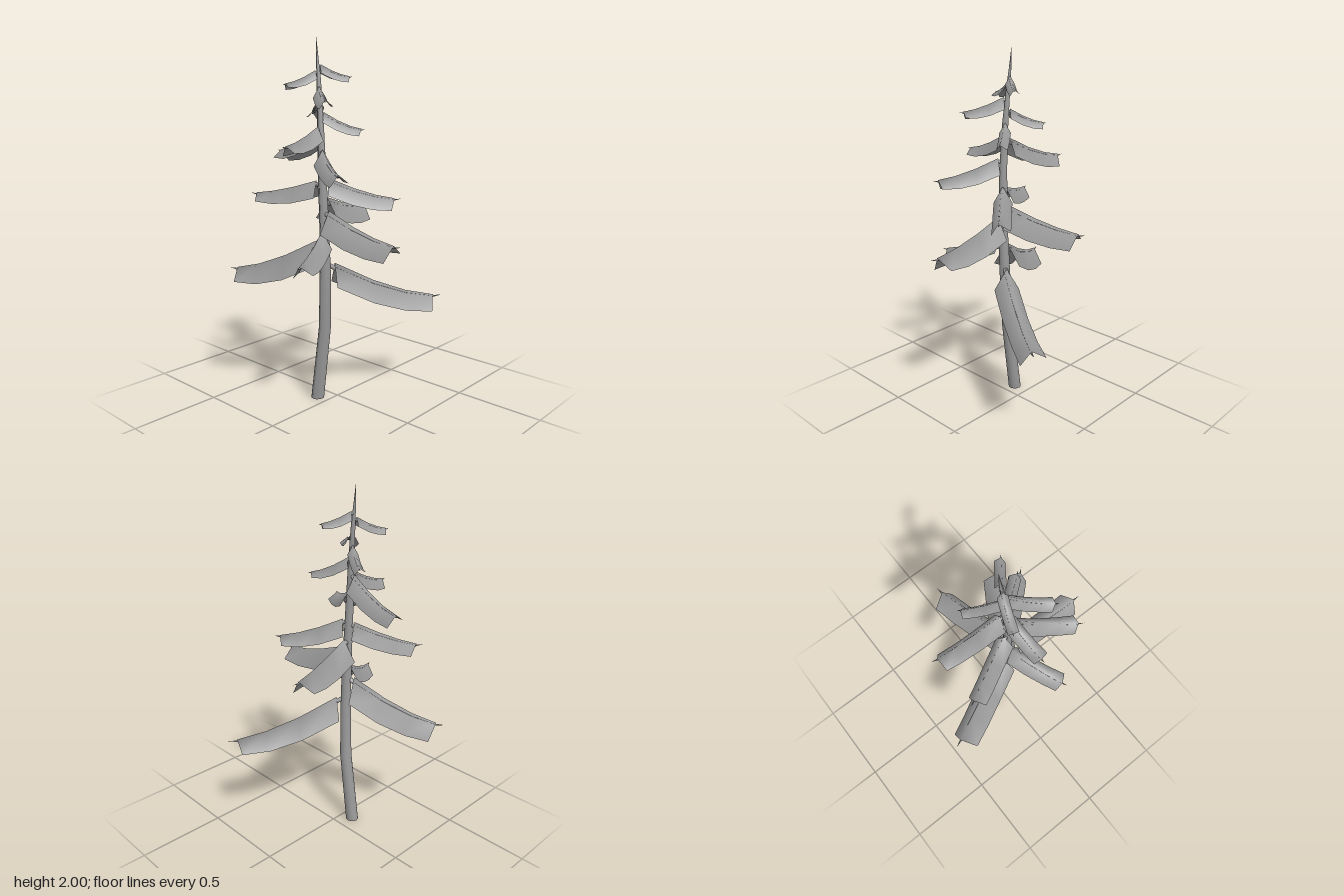
import * as THREE from 'three';

const V = (x, y, z) => new THREE.Vector3(x, y, z);
const UP = V(0, 1, 0);
const material = new THREE.MeshStandardMaterial({ color: 0x999999 });
const sheetMaterial = new THREE.MeshStandardMaterial({ color: 0x999999, side: THREE.DoubleSide });

// Surface through equally sized rows of points
function loft(rows, mat, name) {
  const n = rows[0].length, index = [];
  for (let i = 0; i < rows.length - 1; i++) {
    for (let j = 0; j < n - 1; j++) {
      const a = i * n + j, b = a + n;
      index.push(a, a + 1, b, a + 1, b + 1, b);
    }
  }
  const geometry = new THREE.BufferGeometry().setFromPoints(rows.flat());
  geometry.setIndex(index);
  geometry.computeVertexNormals();
  const mesh = new THREE.Mesh(geometry, mat);
  mesh.name = name;
  return mesh;
}

// Round tapering limb: rings run from axis u towards axis v
function limb(points, radii, u, v, sides, name) {
  const rows = points.map((p, i) => Array.from({ length: sides + 1 }, (_, j) => {
    const a = (j / sides) * Math.PI * 2;
    return p.clone().addScaledVector(u, Math.cos(a) * radii[i]).addScaledVector(v, Math.sin(a) * radii[i]);
  }));
  return loft(rows, material, name);
}

// Trunk centre line: x, y, z, radius
const trunkPath = [
  [-0.07, 0, 0.09, 0.037], [-0.012, 0.43, 0.09, 0.034], [0, 0.75, 0.098, 0.031],
  [0.002, 1.0, 0.107, 0.027], [-0.008, 1.35, 0.114, 0.022], [-0.022, 1.6, 0.11, 0.017],
  [-0.04, 1.8, 0.102, 0.011], [-0.05, 1.88, 0.1, 0.007], [-0.06, 2, 0.098, 0],
];

function trunkAt(y) {
  const i = Math.max(1, trunkPath.findIndex((p) => p[1] >= y));
  const [a, b] = [trunkPath[i - 1], trunkPath[i]];
  const t = (y - a[1]) / (b[1] - a[1]);
  return V(a[0] + (b[0] - a[0]) * t, y, a[2] + (b[2] - a[2]) * t);
}

// Twig with a folded, roof-shaped needle sheet hanging over it
function makeBranch([tipX, tipY, tipZ, rootY, width]) {
  const group = new THREE.Group();
  group.name = 'branch';
  const root = trunkAt(rootY);
  const at = (t) => V(
    root.x + (tipX - root.x) * t,
    tipY + (rootY - tipY) * Math.pow(1 - t, 1.6),
    root.z + (tipZ - root.z) * t,
  );
  const out = V(tipX - root.x, 0, tipZ - root.z).normalize();
  const side = V(-out.z, 0, out.x);
  const stations = [0.08, 0.4, 0.68, 0.92];

  // Twig, tucked under the ridge and showing as a thorn at the tip
  const r = 0.004 + width * 0.08;
  const radii = [1, 0.95, 0.8, 0.6, 0.35, 0].map((k) => k * r);
  const points = [0, ...stations, 1].map((t, i) => at(t).addScaledVector(UP, -2 * radii[i]));
  group.add(limb(points, radii, UP, side, 6, 'twig'));

  // Sheet: gets shallower, rolls a little and slants back towards the tip
  const half = width / 2;
  const rows = stations.map((t) => {
    const drop = half * (1.75 - 0.85 * t * t), roll = 0.25 * t * t;
    const edge = (s) => at(t)
      .addScaledVector(side, s * half * Math.cos(roll) - drop * Math.sin(roll))
      .addScaledVector(UP, -drop * Math.cos(roll) - s * half * Math.sin(roll))
      .addScaledVector(out, -0.35 * half * t);
    return [edge(-1), at(t), edge(1)];
  });
  group.add(loft(rows, sheetMaterial, 'needleSheet'));
  return group;
}

// Branches: tip x, y, z, height on the trunk, sheet width
const branches = [
  [0.38, 0.575, -0.47, 0.83, 0.14],
  [-0.53, 0.73, 0.33, 0.95, 0.155],
  [0.153, 0.86, 0.46, 1.0, 0.11],
  [0.52, 0.965, 0.115, 1.11, 0.138],
  [-0.107, 1.06, -0.383, 1.17, 0.138],
  [0.31, 1.155, -0.16, 1.28, 0.103],
  [-0.38, 1.17, 0.288, 1.26, 0.103],
  [0.315, 1.31, 0.33, 1.43, 0.096],
  [-0.423, 1.39, 0.045, 1.54, 0.106],
  [-0.01, 1.44, 0.394, 1.545, 0.084],
  [0.167, 1.52, -0.03, 1.62, 0.062],
  [-0.21, 1.6, -0.02, 1.69, 0.058],
  [0.165, 1.665, 0.265, 1.75, 0.07],
  [-0.12, 1.75, 0.285, 1.83, 0.052],
  [0.067, 1.79, -0.043, 1.86, 0.052],
];

export function createModel() {
  const model = new THREE.Group();
  model.name = 'conifer';

  const centres = trunkPath.map(([x, y, z]) => V(x, y, z));
  model.add(limb(centres, trunkPath.map((p) => p[3]), V(0, 0, 1), V(1, 0, 0), 12, 'trunk'));

  // Cut face under the trunk
  const base = new THREE.Mesh(new THREE.CircleGeometry(0.037, 12), material);
  base.rotation.x = Math.PI / 2;
  base.position.copy(centres[0]);
  base.name = 'trunkBase';
  model.add(base);

  branches.forEach((b) => model.add(makeBranch(b)));
  return model;
}
